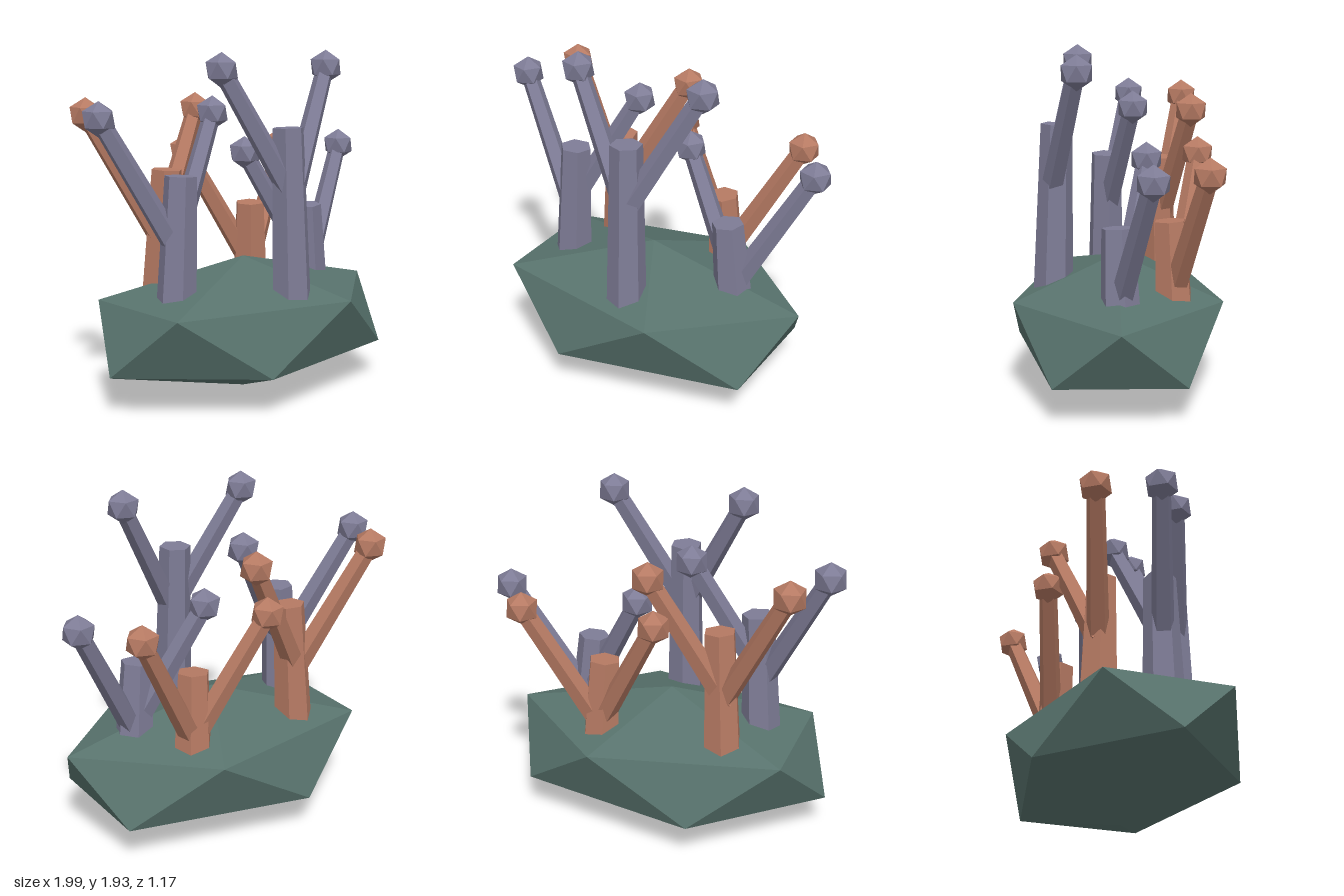
import * as THREE from 'three';

const mat = (name, color) => {
  const m = new THREE.MeshStandardMaterial({ color, flatShading: true });
  m.name = name;
  return m;
};

// Icosahedron standing on one of its points, with an upper ring point towards +x
function pointedIcosahedron(radius) {
  const g = new THREE.IcosahedronGeometry(radius, 0);
  g.rotateZ(-Math.atan(2 / (1 + Math.sqrt(5))));
  return g;
}

// Tapered prism running from a to b
function limb(name, a, b, r0, r1, sides, yaw, material) {
  const dir = b.clone().sub(a);
  const g = new THREE.CylinderGeometry(r1, r0, dir.length(), sides);
  g.rotateY(yaw);
  const mesh = new THREE.Mesh(g, material);
  mesh.name = name;
  mesh.position.copy(a).lerp(b, 0.5);
  mesh.quaternion.setFromUnitVectors(new THREE.Vector3(0, 1, 0), dir.normalize());
  return mesh;
}

// One coral: leaning trunk and two branches with knobbed tips
function coral(name, [x, z], [topX, topZ], top, yaw, material) {
  const group = new THREE.Group();
  group.name = name;
  const root = new THREE.Vector3(x, 0.45, z);
  const crown = new THREE.Vector3(topX, top, topZ);
  group.add(limb('trunk', root, crown, 0.115, 0.09, 6, yaw, material));
  for (const side of [-1, 1]) {
    const start = new THREE.Vector3(x - side * 0.015, top - 0.41, z + 0.005);
    const tip = new THREE.Vector3(x + side * 0.382, top + 0.317, z - 0.147);
    group.add(limb('branch', start, tip, 0.066, 0.052, 5, 0, material));
    const knob = new THREE.Mesh(pointedIcosahedron(0.096), material);
    knob.name = 'branchTip';
    knob.position.copy(tip);
    group.add(knob);
  }
  return group;
}

export function createModel() {
  const model = new THREE.Group();
  model.name = 'coralRock';
  const stone = mat('mossy stone', 0x58736d);
  const purple = mat('dusty purple', 0x7e7c96);
  const orange = mat('terracotta', 0xb67a63);

  // Squashed rock base
  const rock = new THREE.Mesh(pointedIcosahedron(1).scale(1.042, 0.382, 0.685), stone);
  rock.name = 'rock';
  rock.position.y = 0.382;
  model.add(rock);

  // Corals: foot (x, z), trunk top (x, z), trunk top height, twist
  model.add(
    coral('frontCoral', [0.043, 0.37], [0.033, 0.338], 1.515, 0.15, purple),
    coral('rightCoral', [-0.53, 0.055], [-0.488, 0.055], 1.265, 0.7, purple),
    coral('leftCoral', [0.527, -0.01], [0.48, 0.01], 1.015, 0.75, purple),
    coral('backRightCoral', [-0.398, -0.267], [-0.36, -0.24], 1.265, 0.25, orange),
    coral('backLeftCoral', [0.32, -0.31], [0.295, -0.28], 1.015, 0.4, orange),
  );
  return model;
}
